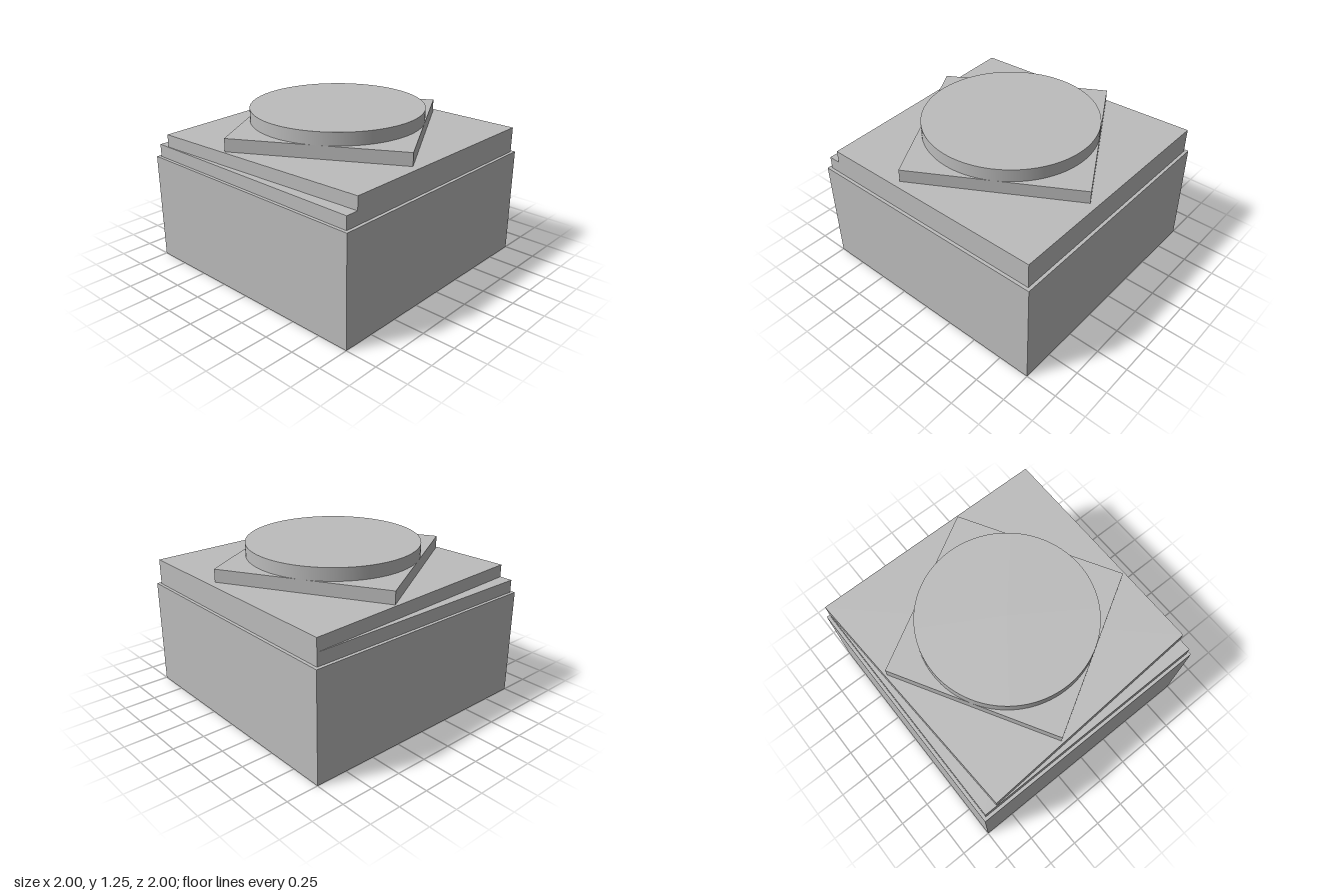
import * as THREE from 'three';

export function createModel() {
  const model = new THREE.Group();
  const grey = new THREE.MeshStandardMaterial({ color: 0xbcbcbc });
  grey.name = 'plainGrey';

  // Adds a named part whose geometry is centred on its own height
  function addPart(name, geometry, bottom, height) {
    const mesh = new THREE.Mesh(geometry, grey);
    mesh.name = name;
    mesh.position.y = bottom + height / 2;
    model.add(mesh);
    return mesh;
  }

  const step = 0.1;

  // Square block and the slightly smaller slab on it
  addPart('base', new THREE.BoxGeometry(2, 0.85, 2), 0, 0.85);
  addPart('lowerSlab', new THREE.BoxGeometry(1.95, step, 1.95), 0.85, step);

  // Slab with its left and front sides cut at a slant (corners as x, z)
  const corners = [[-0.975, -0.975], [-0.873, 0.971], [0.975, 0.874], [0.975, -0.975]];
  const outline = new THREE.Shape(corners.map(([x, z]) => new THREE.Vector2(x, -z)));
  const skewed = new THREE.ExtrudeGeometry(outline, { depth: step, bevelEnabled: false });
  skewed.rotateX(-Math.PI / 2).translate(0, -step / 2, 0);
  addPart('skewedSlab', skewed, 0.95, step);

  // Turned square plate with a disc that touches its sides
  const half = 0.673;
  const plate = addPart('turnedPlate', new THREE.BoxGeometry(2 * half, step, 2 * half), 1.05, step);
  plate.rotation.y = Math.PI / 6;
  addPart('disc', new THREE.CylinderGeometry(half, half, step, 96), 1.15, step);

  // Centre the stack
  return model;
}
